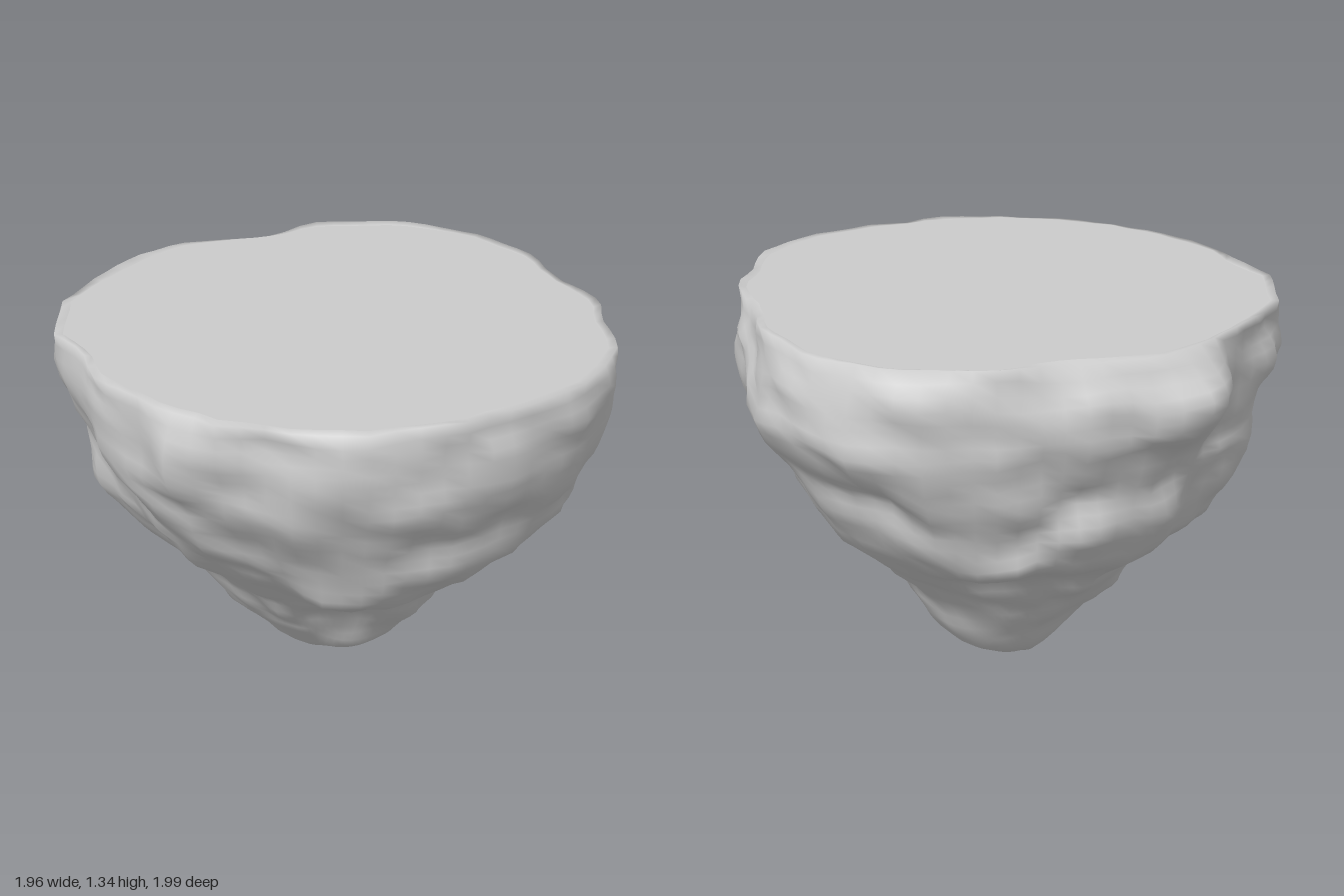
import * as THREE from 'three';

// Height, then reach towards +x, +z, -x, -z
const LEVELS = [
  [0, -0.05, 0.04, 0.15, 0.04], [0.04, 0.03, 0.1, 0.2, 0.16], [0.1, 0.17, 0.17, 0.25, 0.25],
  [0.2, 0.28, 0.27, 0.31, 0.32], [0.35, 0.39, 0.37, 0.42, 0.4],
  [0.48, 0.49, 0.48, 0.53, 0.56], [0.6, 0.65, 0.64, 0.71, 0.71],
  [0.75, 0.82, 0.78, 0.78, 0.79], [0.9, 0.89, 0.87, 0.8, 0.87],
  [1.07, 0.96, 0.96, 0.83, 0.97], [1.2, 0.965, 0.975, 0.85, 0.95], [1.33, 0.95, 0.96, 0.84, 0.91],
];
// Outline irregularity every 15 degrees, turning from +x to +z
const OUTLINE = [1, 1, 1.01, 1.02, 1.03, 0.98, 1, 0.97, 0.97, 1.03, 1.08, 1.05,
  0.99, 1.02, 1.02, 1, 1.01, 1.02, 1.01, 0.97, 0.91, 0.91, 0.94, 0.98];
// Broad swellings: angle, height, angular width, vertical width, amount
const SWELLINGS = [
  [191, 1.18, 12, 0.16, 0.12], [218, 1.33, 25, 0.08, -0.06], [45, 0.62, 28, 0.16, 0.07],
  [225, 0.62, 28, 0.16, 0.04], [135, 0.38, 28, 0.14, 0.06], [135, 0.98, 20, 0.14, -0.03],
  [45, 0.12, 40, 0.12, 0.03],
];
const SEGMENTS = 80, ROWS = 36, TOP = 1.33;
const lerp = THREE.MathUtils.lerp;
const bump = (d, width) => Math.exp(-(d * d) / (width * width));

// Smooth lattice noise in -1..1
function hash(x, y, z) {
  const s = Math.sin(x * 127.1 + y * 311.7 + z * 74.7) * 43758.5453;
  return (s - Math.floor(s)) * 2 - 1;
}
function noise(x, y, z) {
  const c = [x, y, z].map(Math.floor);
  const [u, v, w] = [x - c[0], y - c[1], z - c[2]].map((t) => t * t * (3 - 2 * t));
  const edge = (j, k) => lerp(hash(c[0], c[1] + j, c[2] + k), hash(c[0] + 1, c[1] + j, c[2] + k), u);
  return lerp(lerp(edge(0, 0), edge(1, 0), v), lerp(edge(0, 1), edge(1, 1), v), w);
}

function reachAt(y) {
  let i = 0;
  while (i < LEVELS.length - 2 && y > LEVELS[i + 1][0]) i++;
  const [a, b] = [LEVELS[i], LEVELS[i + 1]];
  const t = (y - a[0]) / (b[0] - a[0]);
  return a.slice(1).map((v, k) => lerp(v, b[k + 1], t));
}

// Point on the rock face at a height and segment
function rockPoint(y, seg) {
  const angle = (seg / SEGMENTS) * Math.PI * 2, deg = (seg / SEGMENTS) * 360;
  const c = Math.cos(angle), s = Math.sin(angle);
  const [px, pz, nx, nz] = reachAt(y);
  const cx = -0.1 * Math.max(0, 1 - y / 0.6);
  const a = c > 0 ? px - cx : nx + cx, b = s > 0 ? pz : nz;
  let r = 1 / Math.hypot(c / a, s / b);
  const k = Math.floor(deg / 15) % 24;
  const outline = lerp(OUTLINE[k], OUTLINE[(k + 1) % 24], (deg / 15) % 1);
  r *= lerp(1, outline, Math.min(1, y / 0.7));
  for (const [at, height, wide, tall, amount] of SWELLINGS) {
    const turn = ((deg - at + 540) % 360) - 180;
    r += amount * bump(turn, wide) * bump(y - height, tall);
  }
  // Lumps, ledges and chips
  const x = cx + r * c, z = r * s;
  const rough = 0.03 * noise(x * 6, y * 8 + 3, z * 6) + 0.016 * noise(x * 12, y * 14, z * 12 + 5);
  r += rough * Math.min(1, 0.2 + y / 0.25);
  const wobble = 0.03 * noise(x * 6, y * 6, z * 6 + 20) * Math.min(1, y / 0.15) * Math.min(1, (TOP - y) / 0.1 + 0.4);
  return [cx + r * c, y + wobble, r * s];
}

function makeMesh(name, positions, indices) {
  const geometry = new THREE.BufferGeometry();
  geometry.setAttribute('position', new THREE.Float32BufferAttribute(positions, 3));
  geometry.setIndex(indices);
  geometry.computeVertexNormals();
  const mesh = new THREE.Mesh(geometry, new THREE.MeshStandardMaterial({ color: 0xcccccc }));
  mesh.name = name;
  return mesh;
}

export function createModel() {
  const island = new THREE.Group();
  island.name = 'floatingRock';

  // Rings from the rim down to the tip, with a turned-in lip first
  const rings = [];
  for (let i = 0; i <= ROWS; i++) {
    const ring = [];
    for (let j = 0; j < SEGMENTS; j++) ring.push(rockPoint(TOP * (1 - i / ROWS), j));
    rings.push(ring);
  }
  const lip = rings[0].map(([x, , z]) => [x * 0.97, 1.328, z * 0.97]);
  rings.unshift(lip);

  // Rugged side
  const sideIndex = [];
  for (let i = 0; i < rings.length - 1; i++) {
    for (let j = 0; j < SEGMENTS; j++) {
      const n = (j + 1) % SEGMENTS;
      const a = i * SEGMENTS + j, b = i * SEGMENTS + n;
      sideIndex.push(a, b, a + SEGMENTS, b, b + SEGMENTS, a + SEGMENTS);
    }
  }
  const sidePoints = rings.flat(2);
  const tip = sidePoints.length / 3, last = (rings.length - 1) * SEGMENTS;
  sidePoints.push(-0.1, 0, 0);
  for (let j = 0; j < SEGMENTS; j++) sideIndex.push(last + j, last + ((j + 1) % SEGMENTS), tip);
  island.add(makeMesh('rockSide', sidePoints, sideIndex));

  // Flat top
  const topIndex = [];
  for (let j = 0; j < SEGMENTS; j++) topIndex.push(SEGMENTS, (j + 1) % SEGMENTS, j);
  island.add(makeMesh('flatTop', [...lip.flat(), 0, 1.328, 0], topIndex));
  return island;
}
